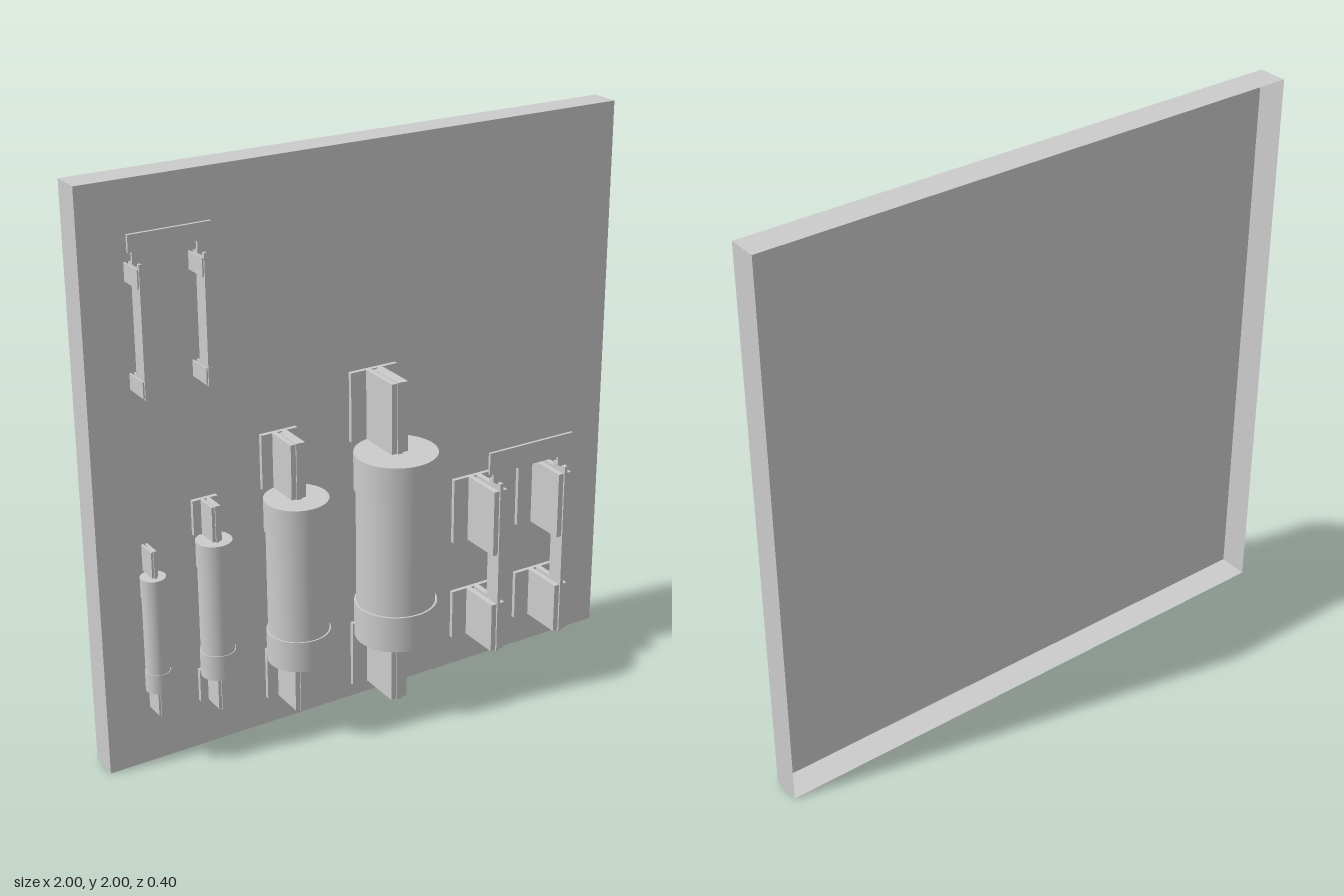
import * as THREE from 'three';

const grey = new THREE.MeshStandardMaterial({ color: 0xcccccc });
const greyDouble = new THREE.MeshStandardMaterial({ color: 0xcccccc, side: THREE.DoubleSide });
const WALL = -0.095; // front face of the panel

// Box given by its min/max on each axis
function box(parent, name, x0, x1, y0, y1, z0, z1) {
  const mesh = new THREE.Mesh(new THREE.BoxGeometry(x1 - x0, y1 - y0, z1 - z0), grey);
  mesh.position.set((x0 + x1) / 2, (y0 + y1) / 2, (z0 + z1) / 2);
  mesh.name = name;
  parent.add(mesh);
}

function cylinder(parent, name, r, x, y0, y1, z) {
  const mesh = new THREE.Mesh(new THREE.CylinderGeometry(r, r, y1 - y0, 48), grey);
  mesh.position.set(x, (y0 + y1) / 2, z);
  mesh.name = name;
  parent.add(mesh);
}

function sheet(parent, name, w, h, position, rx, ry) {
  const mesh = new THREE.Mesh(new THREE.PlaneGeometry(w, h), greyDouble);
  mesh.position.set(...position);
  mesh.rotation.set(rx, ry, 0);
  mesh.name = name;
  parent.add(mesh);
}

// Wall clip: optional base plate and two jaws around a gap
function clip(parent, x, y0, y1, baseW, gap, jaw, front) {
  if (baseW) box(parent, 'clipBase', x - baseW / 2, x + baseW / 2, y0, y1, WALL, WALL + 0.015);
  for (const s of [-1, 1]) {
    const a = x + s * gap / 2, b = x + s * (gap / 2 + jaw);
    box(parent, 'clipJaw', Math.min(a, b), Math.max(a, b), y0, y1, WALL, front);
  }
}

// Cartridge fuse with end caps, contact blades and a clip at each end
function fuse({ x, z, r, y0, y1, cap, blade, baseW, t, front }) {
  const g = new THREE.Group();
  g.name = 'fuse';
  cylinder(g, 'fuseBody', r * 0.95, x, y0 + 0.01, y1 - 0.01, z);
  cylinder(g, 'lowerCap', r, x, y0, y0 + cap, z);
  cylinder(g, 'upperCap', r, x, y1 - cap, y1, z);
  for (const [a, b] of [[y0 - blade, y0 - 0.005], [y1 + 0.002, y1 + blade]]) {
    clip(g, x, a, b, baseW, t, t, front);
    box(g, 'contactBlade', x - t / 2, x + t / 2, a - 0.003, b + 0.003, WALL + 0.03, front + 0.004);
  }
  return g;
}

// Flat handle with a tab above each leg
function handle(parent, x0, x1, y0, y1, legs, tabW, tabY, z) {
  const s = new THREE.Shape();
  s.moveTo(x0, y1);
  s.lineTo(x0, y0);
  for (const x of legs) {
    s.lineTo(x - tabW / 2, y0);
    s.lineTo(x - tabW / 2, tabY + 0.01);
    s.lineTo(x - tabW / 4, tabY);
    s.lineTo(x + tabW / 4, tabY);
    s.lineTo(x + tabW / 2, tabY + 0.01);
    s.lineTo(x + tabW / 2, y0);
  }
  s.lineTo(x1, y0);
  s.lineTo(x1, y1);
  const mesh = new THREE.Mesh(
    new THREE.ExtrudeGeometry(s, { depth: 0.01, bevelEnabled: false }), grey);
  mesh.position.z = z - 0.005;
  mesh.name = 'handle';
  parent.add(mesh);
}

export function createModel() {
  const model = new THREE.Group();
  model.name = 'fusePanel';

  // Shallow panel, open at the back
  const panel = new THREE.Group();
  panel.name = 'panel';
  const depth = WALL + 0.2, mid = (WALL - 0.2) / 2;
  sheet(panel, 'panelFront', 2, 2, [0, 1, WALL], 0, 0);
  for (const s of [-1, 1]) {
    sheet(panel, 'panelSide', depth, 2, [s, 1, mid], 0, s * Math.PI / 2);
    sheet(panel, 'panelEdge', 2, depth, [0, 1 + s, mid], -s * Math.PI / 2, 0);
  }
  model.add(panel);

  // Four fuses in rising size
  const fuses = [
    { x: -0.835, z: -0.042, r: 0.042, y0: 0.3, y1: 0.71, cap: 0.07, blade: 0.093, baseW: 0, t: 0.007, front: -0.025 },
    { x: -0.62, z: -0.03, r: 0.06, y0: 0.3, y1: 0.79, cap: 0.09, blade: 0.125, baseW: 0.09, t: 0.011, front: -0.005 },
    { x: -0.342, z: 0.022, r: 0.108, y0: 0.3, y1: 0.89, cap: 0.11, blade: 0.195, baseW: 0.135, t: 0.018, front: 0.04 },
    { x: 0.022, z: 0.055, r: 0.142, y0: 0.3, y1: 0.98, cap: 0.13, blade: 0.25, baseW: 0.18, t: 0.021, front: 0.078 },
  ];
  fuses.forEach((f) => model.add(fuse(f)));

  // Small link at upper left
  const link = new THREE.Group();
  link.name = 'smallLink';
  const linkLegs = [-0.843, -0.627];
  handle(link, -0.875, -0.597, 1.8, 1.855, linkLegs, 0.04, 1.755, -0.015);
  for (const x of linkLegs) {
    box(link, 'linkBlade', x - 0.005, x + 0.005, 1.33, 1.762, -0.055, 0.002);
    clip(link, x, 1.335, 1.39, 0, 0.01, 0.005, -0.003);
    clip(link, x, 1.685, 1.745, 0, 0.01, 0.005, -0.003);
  }
  model.add(link);

  // Large link in clips at lower right
  const big = new THREE.Group();
  big.name = 'largeLink';
  const bigLegs = [0.44, 0.718];
  handle(big, 0.4, 0.755, 0.805, 0.885, bigLegs, 0.05, 0.765, 0.06);
  for (const x of bigLegs) {
    box(big, 'linkBlade', x - 0.006, x + 0.006, 0.112, 0.768, 0.015, 0.082);
    clip(big, x, 0.115, 0.3, 0.175, 0.014, 0.02, 0.077);
    clip(big, x, 0.495, 0.74, 0.175, 0.014, 0.02, 0.077);
  }
  model.add(big);

  return model;
}
